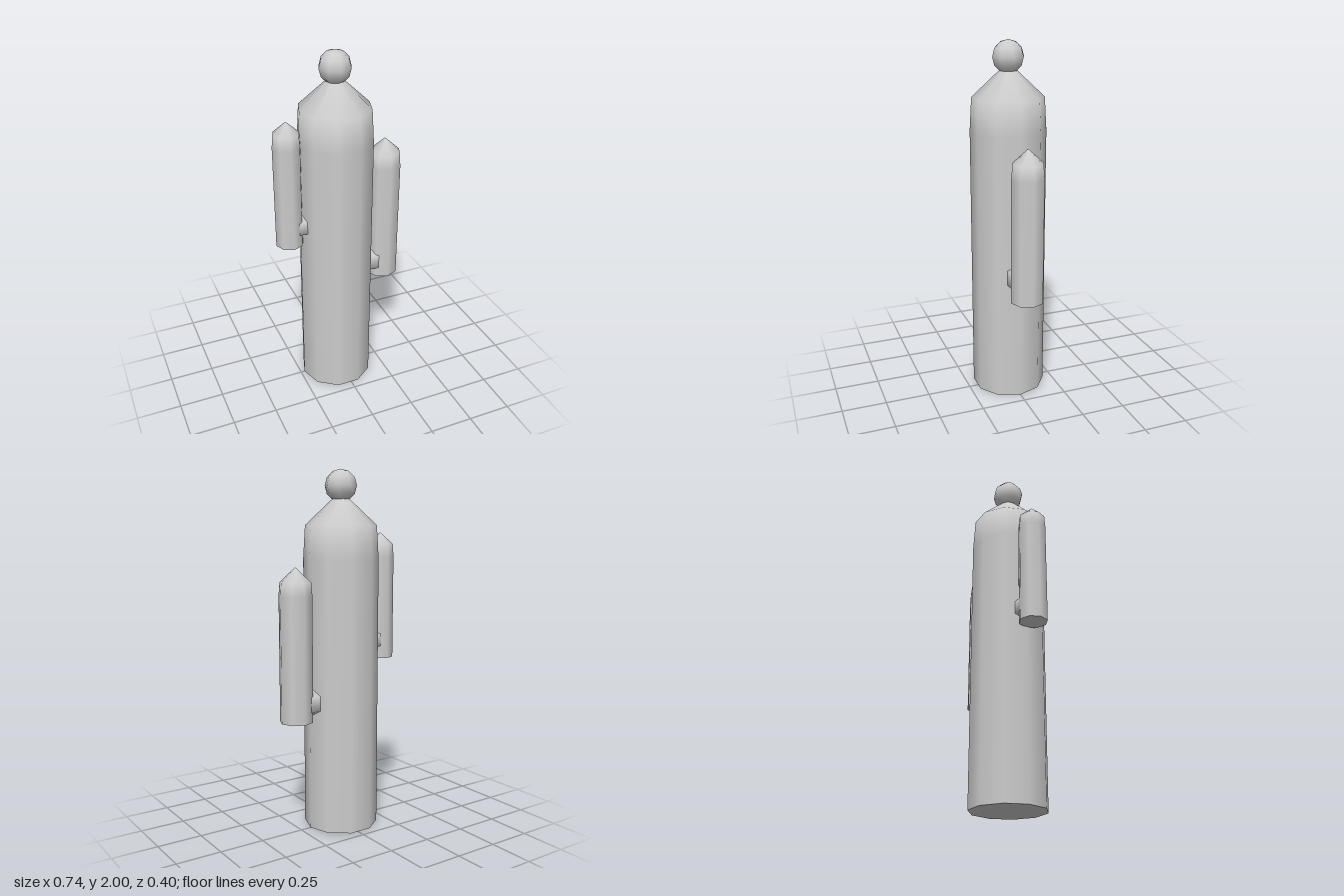
import * as THREE from 'three';

const grey = new THREE.MeshStandardMaterial({ color: 0xcccccc });
grey.name = 'plain grey';

function add(parent, name, geometry, x = 0, y = 0) {
  const mesh = new THREE.Mesh(geometry, grey);
  mesh.name = name;
  mesh.position.set(x, y, 0);
  parent.add(mesh);
  return mesh;
}

// Upright column with a slightly drawn-in shoulder, pointed tip and flat base
function column(name, sides, x, y, profile) {
  const group = new THREE.Group();
  group.name = name;
  group.position.set(x, y, 0);
  const points = profile.map(([r, h]) => new THREE.Vector2(r, h));
  add(group, name + 'Stem', new THREE.LatheGeometry(points, sides, Math.PI / 2));
  add(group, name + 'Base', new THREE.CircleGeometry(profile[0][0], sides).rotateX(Math.PI / 2));
  return group;
}

export function createModel() {
  const model = new THREE.Group();
  model.name = 'cactus';

  // Main trunk
  model.add(column('trunk', 10, -0.02, 0, [[0.208, 0], [0.208, 1.52], [0.197, 1.7], [0, 1.885]]));

  // Round flower bud on top
  add(model, 'bud', new THREE.SphereGeometry(0.089, 8, 6), -0.019, 1.911);

  // Two arms, each joined to the trunk by a short hexagonal stub
  model.add(column('leftArm', 8, 0.275, 0.635, [[0.093, 0], [0.093, 0.69], [0.087, 0.765], [0, 0.845]]));
  model.add(column('rightArm', 8, -0.292, 0.945, [[0.078, 0], [0.078, 0.58], [0.073, 0.65], [0, 0.715]]));

  const stub = (r, length) => new THREE.CylinderGeometry(r, r, length, 6)
    .rotateY(Math.PI / 2).rotateZ(Math.PI / 2);
  add(model, 'leftStub', stub(0.083, 0.18), 0.19, 0.735);
  add(model, 'rightStub', stub(0.072, 0.16), -0.21, 1.052);

  return model;
}
